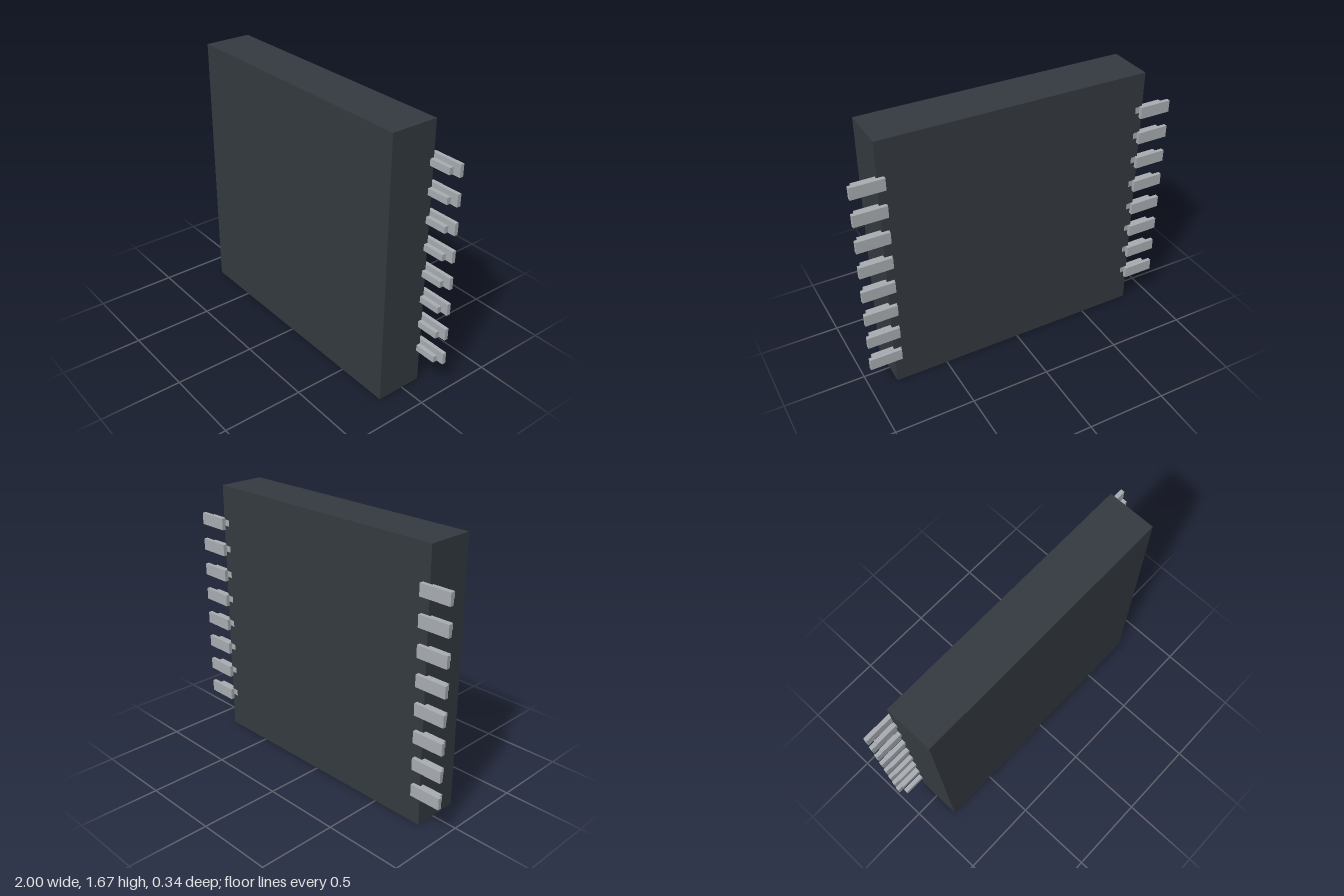
import * as THREE from 'three';

const bodyMat = new THREE.MeshStandardMaterial({ color: 0x343a40 });
bodyMat.name = 'charcoal';
const metalMat = new THREE.MeshStandardMaterial({ color: 0xa8adb2 });
metalMat.name = 'metal grey';

// Box given by its minimum and maximum corners
function box(name, mat, [x0, y0, z0], [x1, y1, z1]) {
  const mesh = new THREE.Mesh(new THREE.BoxGeometry(x1 - x0, y1 - y0, z1 - z0), mat);
  mesh.position.set((x0 + x1) / 2, (y0 + y1) / 2, (z0 + z1) / 2);
  mesh.name = name;
  return mesh;
}

export function createModel() {
  const model = new THREE.Group();
  model.name = 'chipPackage';

  // Square package body
  model.add(box('body', bodyMat, [-0.833, 0, -0.126], [0.833, 1.667, 0.169]));

  // Eight contacts down each side: a thin lead against the body and a wider pad behind it
  for (const side of [1, -1]) {
    for (let i = 0; i < 8; i++) {
      const pin = new THREE.Group();
      pin.name = (side > 0 ? 'left' : 'right') + 'Contact' + (i + 1);
      const lead = box('lead', metalMat, [0.788, -0.02, -0.1265], [0.97, 0.02, -0.1]);
      const pad = box('pad', metalMat, [0.8, -0.037, -0.169], [1, 0.037, -0.145]);
      lead.position.x *= side;
      pad.position.x *= side;
      pin.add(lead, pad);
      pin.position.y = 0.24 + i * 0.17;
      model.add(pin);
    }
  }
  return model;
}
